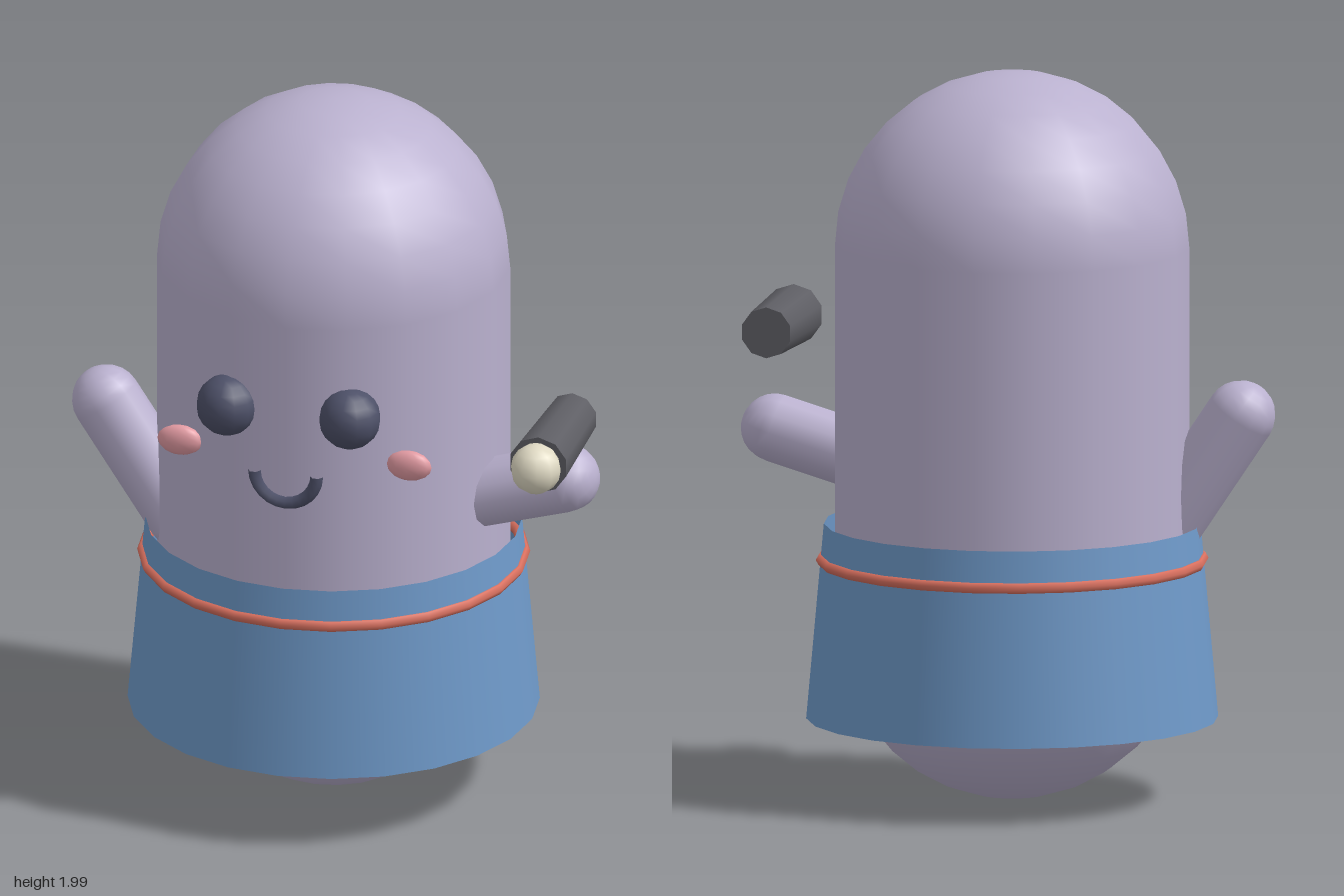
import * as THREE from 'three';

const mat = (name, color, side = THREE.FrontSide) => {
  const m = new THREE.MeshStandardMaterial({ color, side });
  m.name = name;
  return m;
};

export function createModel() {
  const lilac = mat('lilac', 0xbab1cf);
  const blue = mat('blue', 0x6f9aca, THREE.DoubleSide);
  const coral = mat('coral', 0xd9705f);
  const navy = mat('navy', 0x4d5068);
  const pink = mat('pink', 0xe39ba3);
  const grey = mat('grey', 0x5e5e64);
  const cream = mat('cream', 0xe0dac4);

  const root = new THREE.Group();
  root.name = 'waverFigure';
  const add = (name, geometry, material, x, y, z) => {
    const mesh = new THREE.Mesh(geometry, material);
    mesh.name = name;
    mesh.position.set(x, y, z);
    root.add(mesh);
    return mesh;
  };
  const CX = -0.05, CZ = -0.04;

  // Pill-shaped body
  const body = new THREE.CapsuleGeometry(0.482, 1.03, 8, 18).rotateY(Math.PI / 2);
  add('body', body, lilac, CX, 1.003, CZ);

  // Flared open skirt with a trim band
  add('skirt', new THREE.CylinderGeometry(0.512, 0.56, 0.535, 24, 1, true), blue, CX, 0.4925, CZ);
  const band = new THREE.TorusGeometry(0.518, 0.016, 6, 24).rotateX(Math.PI / 2);
  add('skirtBand', band, coral, CX, 0.66, CZ);

  // Eyes and cheeks
  for (const [side, s] of [['right', -1], ['left', 1]]) {
    add(side + 'Eye', new THREE.SphereGeometry(0.085, 12, 10), navy, CX + s * 0.173, 1.26, 0.412);
    add(side + 'Cheek', new THREE.SphereGeometry(1, 12, 8), pink, CX + s * 0.323, 1.113, 0.352)
      .scale.set(0.064, 0.043, 0.027);
  }

  // Smile: lower half ring
  const smile = new THREE.TorusGeometry(0.088, 0.018, 6, 12, Math.PI).rotateZ(Math.PI);
  add('smile', smile, navy, CX, 1.09, 0.441);

  // Arms: capsules between an inner and an outer point
  const arm = (name, from, to) => {
    const a = new THREE.Vector3(...from), b = new THREE.Vector3(...to);
    const dir = b.clone().sub(a);
    const mid = a.clone().add(b).multiplyScalar(0.5);
    const mesh = add(name, new THREE.CapsuleGeometry(0.095, dir.length(), 6, 12), lilac, mid.x, mid.y, mid.z);
    mesh.quaternion.setFromUnitVectors(new THREE.Vector3(0, 1, 0), dir.normalize());
  };
  arm('rightArm', [-0.46, 0.75, 0.035], [-0.67, 1.065, 0.035]);
  arm('leftArm', [0.32, 0.895, 0.035], [0.625, 0.985, 0.035]);

  // Floating torch pointing forward
  const handle = new THREE.CylinderGeometry(0.082, 0.07, 0.34, 10).rotateX(Math.PI / 2);
  add('torchHandle', handle, grey, 0.68, 1.225, 0.33);
  add('torchBulb', new THREE.SphereGeometry(0.07, 10, 8), cream, 0.68, 1.225, 0.525);

  return root;
}
